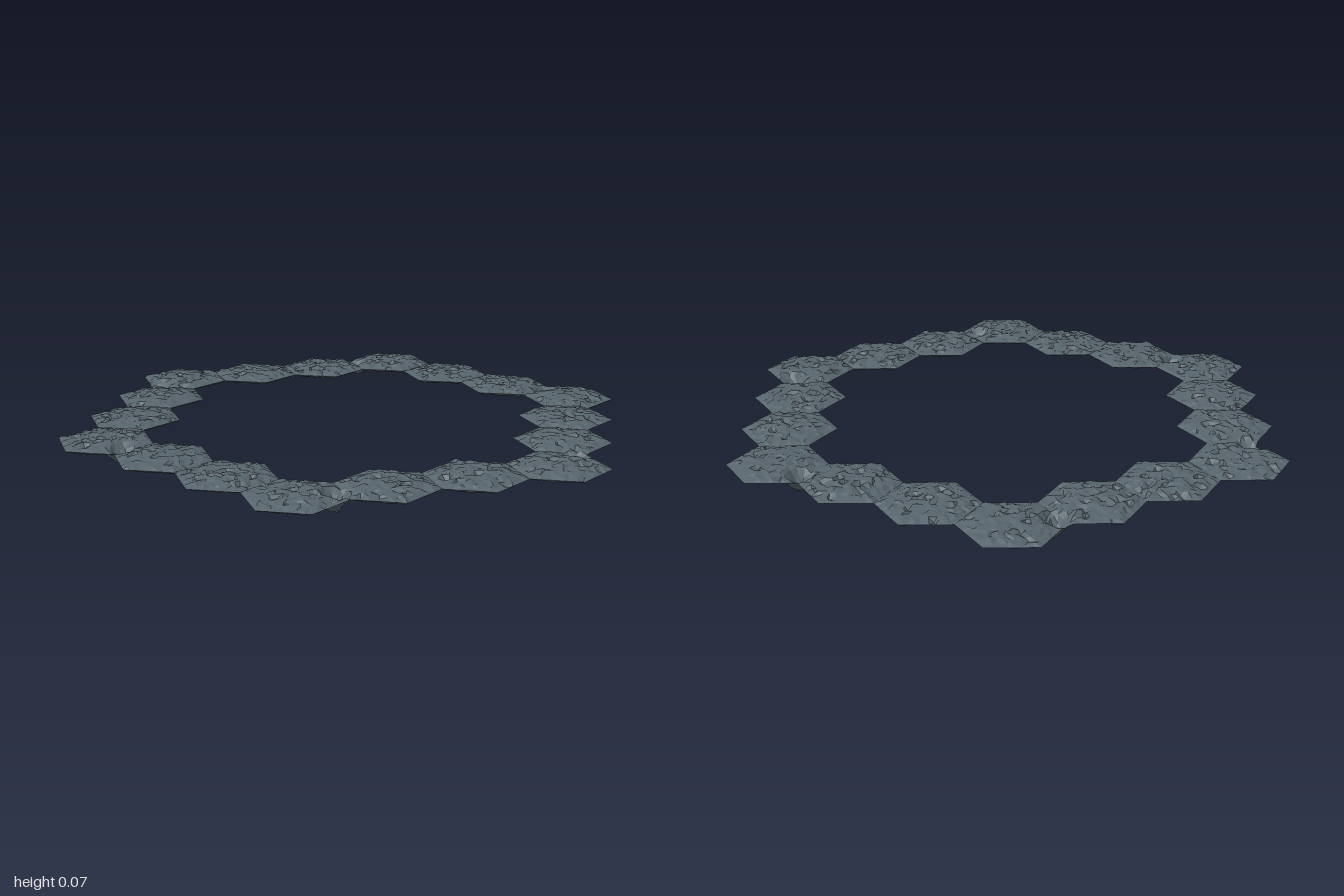
import * as THREE from 'three';

const W = 2 / 7;                 // tile width across flats
const R = W / Math.sqrt(3);      // tile corner radius
const N = 9;                     // subdivisions from tile centre to rim
const RIM = 0.05;

// Places where the rock sags below the ring: [x, z]
const SAGS = [[-0.85, 0.13], [0.84, -0.12], [-0.53, -0.66], [0.31, -0.78], [-0.31, 0.77], [0.51, 0.66]];

// Repeatable noise in 0..1 from a position
function hash(x, z, seed) {
  const s = Math.sin(Math.round(x * 2000) * 12.9898 + Math.round(z * 2000) * 78.233 + seed * 37.7) * 43758.5453;
  return s - Math.floor(s);
}

function sag(x, z) {
  let d = 0;
  for (const [sx, sz] of SAGS) d = Math.max(d, 1 - Math.hypot(x - sx, z - sz) / 0.05);
  return d * 0.05;
}

// One rough hexagonal slab: mounded top, shallow underside, both meeting at a thin rim
function tileGeometry(cx, cz) {
  const corner = (s) => {
    const a = (s * Math.PI) / 3 + Math.PI / 6;
    return [Math.cos(a) * R, Math.sin(a) * R];
  };
  const point = (s, a, b, top) => {
    const [x0, z0] = corner(s), [x1, z1] = corner(s + 1);
    let x = cx + (a * x0 + b * x1) / N;
    let z = cz + (a * z0 + b * z1) / N;
    const t = (a + b) / N;
    const inner = t < 0.999 ? 1 : 0;
    const n = hash(x, z, 1), crack = hash(x, z, 2) > 0.93 ? 0.009 : 0;
    const jx = (hash(x, z, 3) - 0.5) * 0.012, jz = (hash(x, z, 4) - 0.5) * 0.012;
    let y = RIM;
    if (inner) {
      y += top
        ? 0.017 * (1 - t ** 3) + (n - 0.4) * 0.008 - crack
        : -0.014 * Math.min(1, (1 - t) * 4) - n * 0.003;
      x += jx;
      z += jz;
    }
    return [x, Math.max(0, y - sag(x, z)), z];
  };
  const pos = [];
  for (const top of [true, false]) {
    const tri = (p, q, r) => pos.push(...p, ...(top ? r : q), ...(top ? q : r));
    for (let s = 0; s < 6; s++) {
      const p = (a, b) => point(s, a, b, top);
      for (let a = 0; a < N; a++) {
        for (let b = 0; a + b < N; b++) {
          tri(p(a, b), p(a + 1, b), p(a, b + 1));
          if (a + b < N - 1) tri(p(a + 1, b), p(a + 1, b + 1), p(a, b + 1));
        }
      }
    }
  }
  const g = new THREE.BufferGeometry();
  g.setAttribute('position', new THREE.Float32BufferAttribute(pos, 3));
  g.computeVertexNormals();
  return g;
}

export function createModel() {
  const group = new THREE.Group();
  group.name = 'hexTileRing';
  const rock = new THREE.MeshStandardMaterial({ color: 0x56646c, flatShading: true, side: THREE.DoubleSide });

  // Seven rows of a hexagonal grid; only the outline of the big hexagon is tiled
  for (let row = -3; row <= 3; row++) {
    const half = 3 - Math.abs(row) / 2;
    for (let col = -half; col <= half; col++) {
      const onRing = Math.abs(row) === 3 || Math.abs(col) === half;
      if (!onRing) continue;
      const tile = new THREE.Mesh(tileGeometry(col * W, row * R * 1.5), rock);
      tile.name = 'rockTile';
      group.add(tile);
    }
  }
  return group;
}
